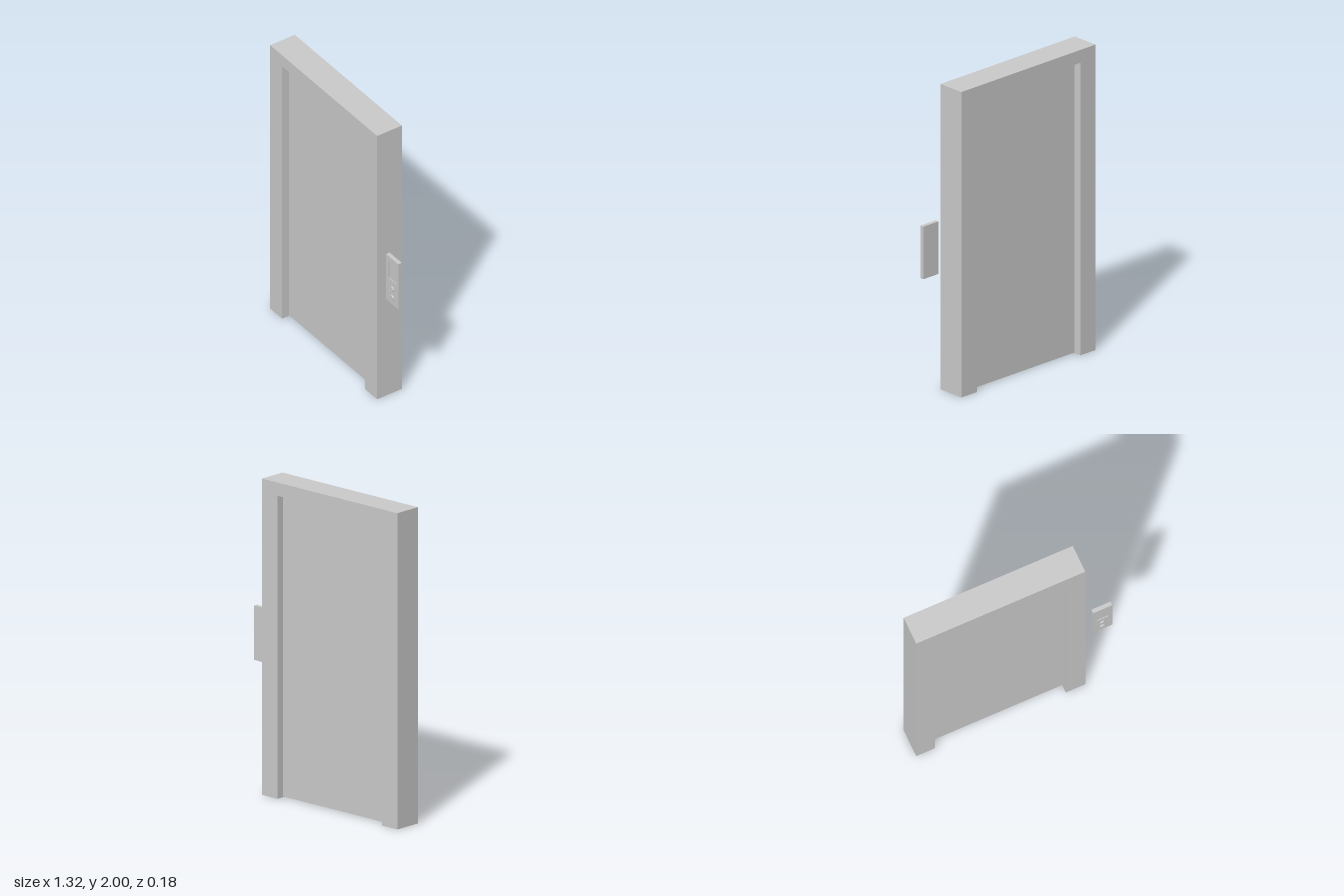
import * as THREE from 'three';

const material = new THREE.MeshStandardMaterial({ color: 0xcccccc });

function addPart(parent, name, geometry, x = 0, y = 0, z = 0) {
  const mesh = new THREE.Mesh(geometry, material);
  mesh.name = name;
  mesh.position.set(x, y, z);
  parent.add(mesh);
  return mesh;
}

// Flat outline through a list of corners
const outline = (points) => new THREE.Shape(points.map(([x, y]) => new THREE.Vector2(x, y)));
const extrude = (shape, depth) => new THREE.ExtrudeGeometry(shape, { depth, bevelEnabled: false });

export function createModel() {
  const model = new THREE.Group();
  model.name = 'elevatorDoor';

  // Portal frame: two jambs and a lintel in one piece, open at the floor
  const left = -0.662, right = 0.467, depth = 0.184;
  const openLeft = -0.535, openRight = 0.337, openTop = 1.916;
  const portal = outline([
    [left, 0], [openLeft, 0], [openLeft, openTop], [openRight, openTop],
    [openRight, 0], [right, 0], [right, 2], [left, 2],
  ]);
  addPart(model, 'doorFrame', extrude(portal, depth), 0, 0, -depth / 2);

  // Two sliding door leaves meeting in the middle, set back on both faces
  const sill = 0.004, leafWidth = (openRight - openLeft) / 2, leafHeight = openTop - sill;
  const middle = (openLeft + openRight) / 2;
  for (const [name, side] of [['rightDoor', -1], ['leftDoor', 1]]) {
    addPart(model, name, new THREE.BoxGeometry(leafWidth, leafHeight, 0.08),
      middle + side * leafWidth / 2, sill + leafHeight / 2, 0);
  }

  // Call panel beside the frame
  const panel = new THREE.Group();
  panel.name = 'callPanel';
  panel.position.set(0.594, 0.96, 0.043);
  model.add(panel);

  const halfW = 0.064, halfH = 0.172, backDepth = 0.021, faceDepth = 0.005;
  addPart(panel, 'panelBack', new THREE.BoxGeometry(halfW * 2, halfH * 2, backDepth), 0, 0, backDepth / 2);

  // Face plate with a rectangular cut-out for the sunken display
  const plate = outline([[-halfW, -halfH], [halfW, -halfH], [halfW, halfH], [-halfW, halfH]]);
  plate.holes.push(new THREE.Path(
    [[-0.039, 0.007], [-0.039, 0.132], [0.039, 0.132], [0.039, 0.007]].map(([x, y]) => new THREE.Vector2(x, y))));
  addPart(panel, 'panelFace', extrude(plate, faceDepth), 0, 0, backDepth);

  // Up and down call buttons
  const buttonGeometry = new THREE.CylinderGeometry(0.018, 0.02, 0.008, 24).rotateX(Math.PI / 2);
  for (const [name, y] of [['upButton', -0.055], ['downButton', -0.12]]) {
    addPart(panel, name, buttonGeometry, 0, y, backDepth + faceDepth + 0.003);
  }

  return model;
}
